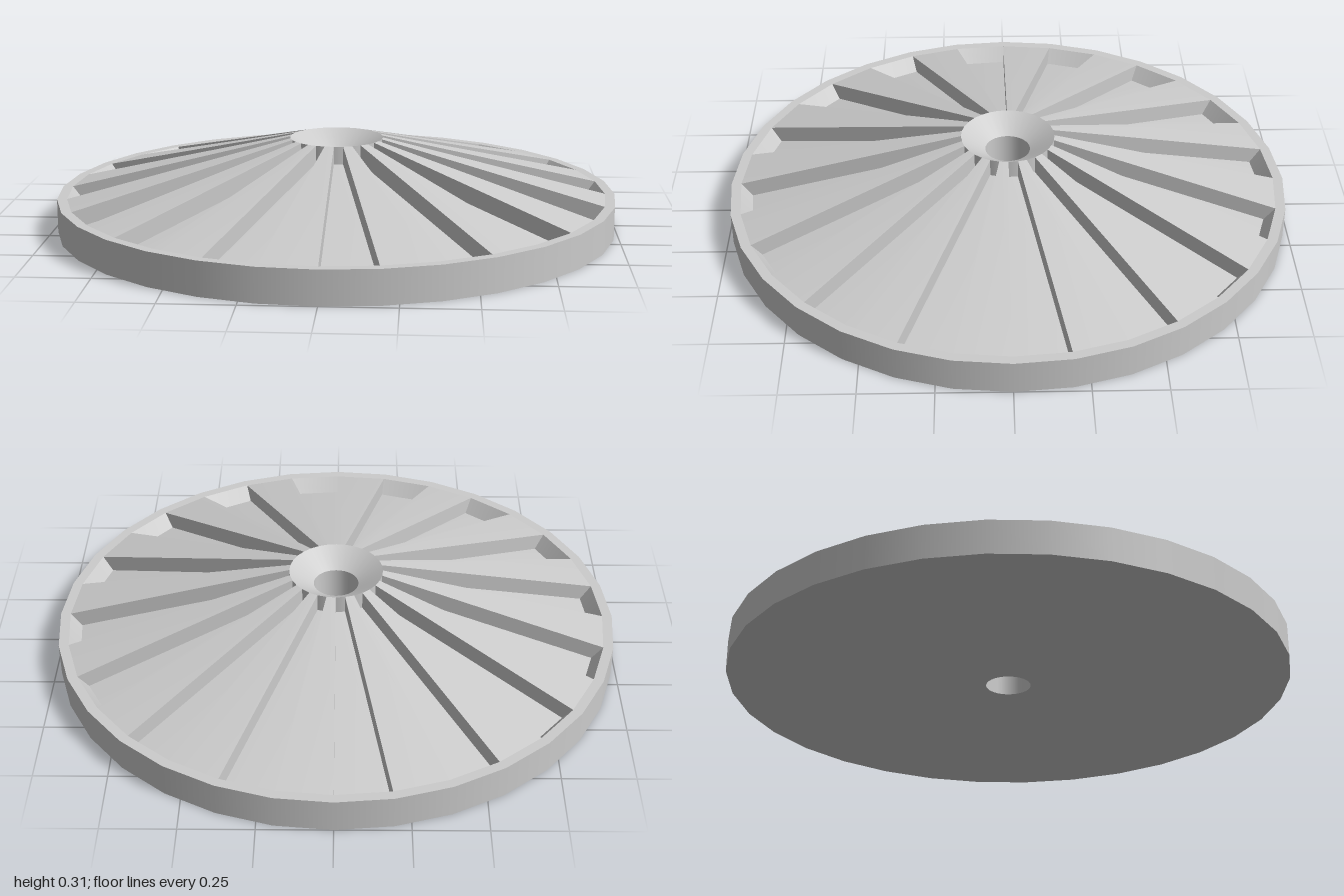
import * as THREE from 'three';

const SIDES = 32;            // alternating pocket / rib sectors
const STEP = (Math.PI * 2) / SIDES;
const material = new THREE.MeshStandardMaterial({ color: 0xcccccc });
const wallMaterial = new THREE.MeshStandardMaterial({ color: 0xcccccc, side: THREE.DoubleSide });

// Key profile points [radius, height]
const HUB_TOP = [0.167, 0.315];
const HUB_FLOOR = [0.167, 0.252];
const POCKET_FLOOR = [0.927, 0.066];
const POCKET_TOP = [0.965, 0.118];
const RIM_TOP = [1, 0.118];
const RIM_BASE = [1, 0];
const HOLE_TOP = [0.08, 0.26];
const HOLE_BASE = [0.08, 0];

// One crisp band of revolution between two profile points
function band(name, from, to, sector = null) {
  const points = [from, to].map(([r, y]) => new THREE.Vector2(r, y));
  const geometry = sector === null
    ? new THREE.LatheGeometry(points, SIDES)
    : new THREE.LatheGeometry(points, 1, Math.PI / 2 + sector * STEP, STEP);
  const mesh = new THREE.Mesh(geometry, material);
  mesh.name = name;
  return mesh;
}

// Upright radial side wall of a pocket
const wallShape = new THREE.Shape(
  [HUB_FLOOR, POCKET_FLOOR, POCKET_TOP, HUB_TOP].map(([r, y]) => new THREE.Vector2(r, y)));
const wallGeometry = new THREE.ShapeGeometry(wallShape);

function sideWall(sector) {
  const mesh = new THREE.Mesh(wallGeometry, wallMaterial);
  mesh.rotation.y = sector * STEP;
  mesh.name = 'pocketSideWall';
  return mesh;
}

export function createModel() {
  const model = new THREE.Group();
  model.name = 'ribbedDisc';

  // Solid disc, countersunk hub and through hole
  model.add(
    band('base', HOLE_BASE, RIM_BASE),
    band('outerRim', RIM_BASE, RIM_TOP),
    band('rimTop', RIM_TOP, POCKET_TOP),
    band('hubCountersink', HUB_TOP, HOLE_TOP),
    band('hubHole', HOLE_TOP, HOLE_BASE),
  );

  // Sunken pockets alternating with sloping ribs
  for (let i = 0; i < SIDES; i += 2) {
    const pocket = new THREE.Group();
    pocket.name = 'pocket';
    pocket.add(
      band('pocketOuterWall', POCKET_TOP, POCKET_FLOOR, i),
      band('pocketFloor', POCKET_FLOOR, HUB_FLOOR, i),
      band('pocketHubWall', HUB_FLOOR, HUB_TOP, i),
      sideWall(i),
      sideWall(i + 1),
    );
    model.add(pocket, band('rib', POCKET_TOP, HUB_TOP, i + 1));
  }
  return model;
}
